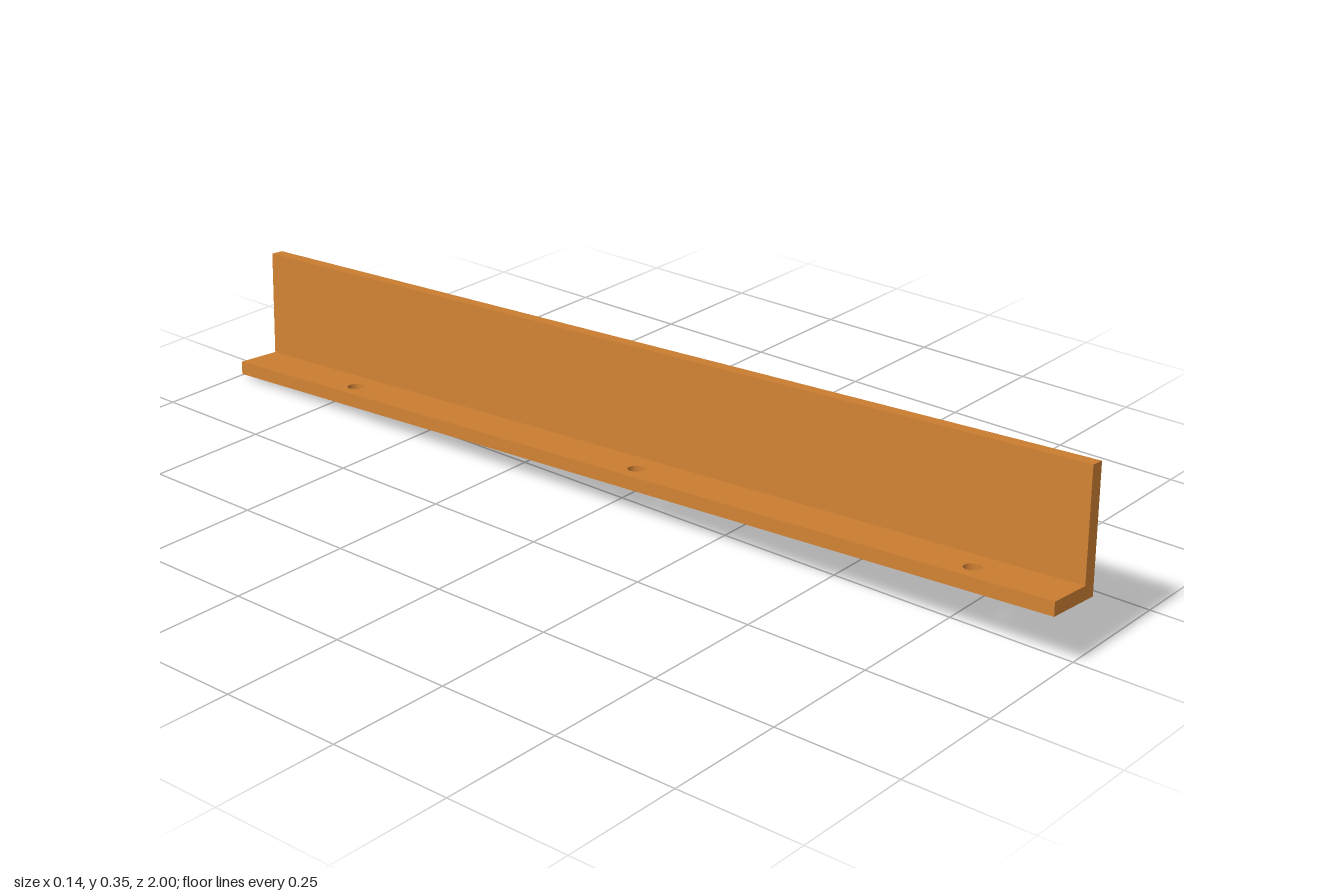
import * as THREE from 'three';

const LENGTH = 1.988, WIDTH = 0.121, HEIGHT = 0.242, THICK = 0.027;
const HOLE_RADIUS = 0.017, HOLE_X = -0.081, HOLES_Z = [-0.695, 0.055, 0.805];

export function createModel() {
  const bronze = new THREE.MeshStandardMaterial({ color: 0xcd7f32 });
  bronze.name = 'bronze';

  // Horizontal flange with three round holes, drawn in plan and laid flat
  const plan = new THREE.Shape();
  plan.moveTo(-WIDTH, -LENGTH / 2);
  plan.lineTo(0, -LENGTH / 2);
  plan.lineTo(0, LENGTH / 2);
  plan.lineTo(-WIDTH, LENGTH / 2);
  plan.closePath();
  for (const z of HOLES_Z) {
    plan.holes.push(new THREE.Path().absarc(HOLE_X, -z, HOLE_RADIUS, 0, Math.PI * 2, true));
  }
  const flangeGeometry = new THREE.ExtrudeGeometry(plan, {
    depth: THICK, bevelEnabled: false, curveSegments: 32,
  });
  flangeGeometry.rotateX(-Math.PI / 2);
  const flange = new THREE.Mesh(flangeGeometry, bronze);
  flange.name = 'drilledFlange';

  // Upright wall standing on the outer edge of the flange
  const wall = new THREE.Mesh(new THREE.BoxGeometry(THICK, HEIGHT - THICK, LENGTH), bronze);
  wall.name = 'uprightWall';
  wall.position.set(-THICK / 2, (HEIGHT + THICK) / 2, 0);

  // The whole bar is rolled sideways and pitched up at the front
  const bar = new THREE.Group();
  bar.name = 'angleBar';
  bar.add(flange, wall);
  bar.rotation.set(THREE.MathUtils.degToRad(-3), 0, THREE.MathUtils.degToRad(-4.4));

  const model = new THREE.Group();
  model.name = 'angleBracket';
  model.add(bar);

  // Centre on x and z, rest on y = 0
  model.updateMatrixWorld(true);
  const box = new THREE.Box3().setFromObject(model, true);
  const centre = box.getCenter(new THREE.Vector3());
  bar.position.set(-centre.x, -box.min.y, -centre.z);
  return model;
}
